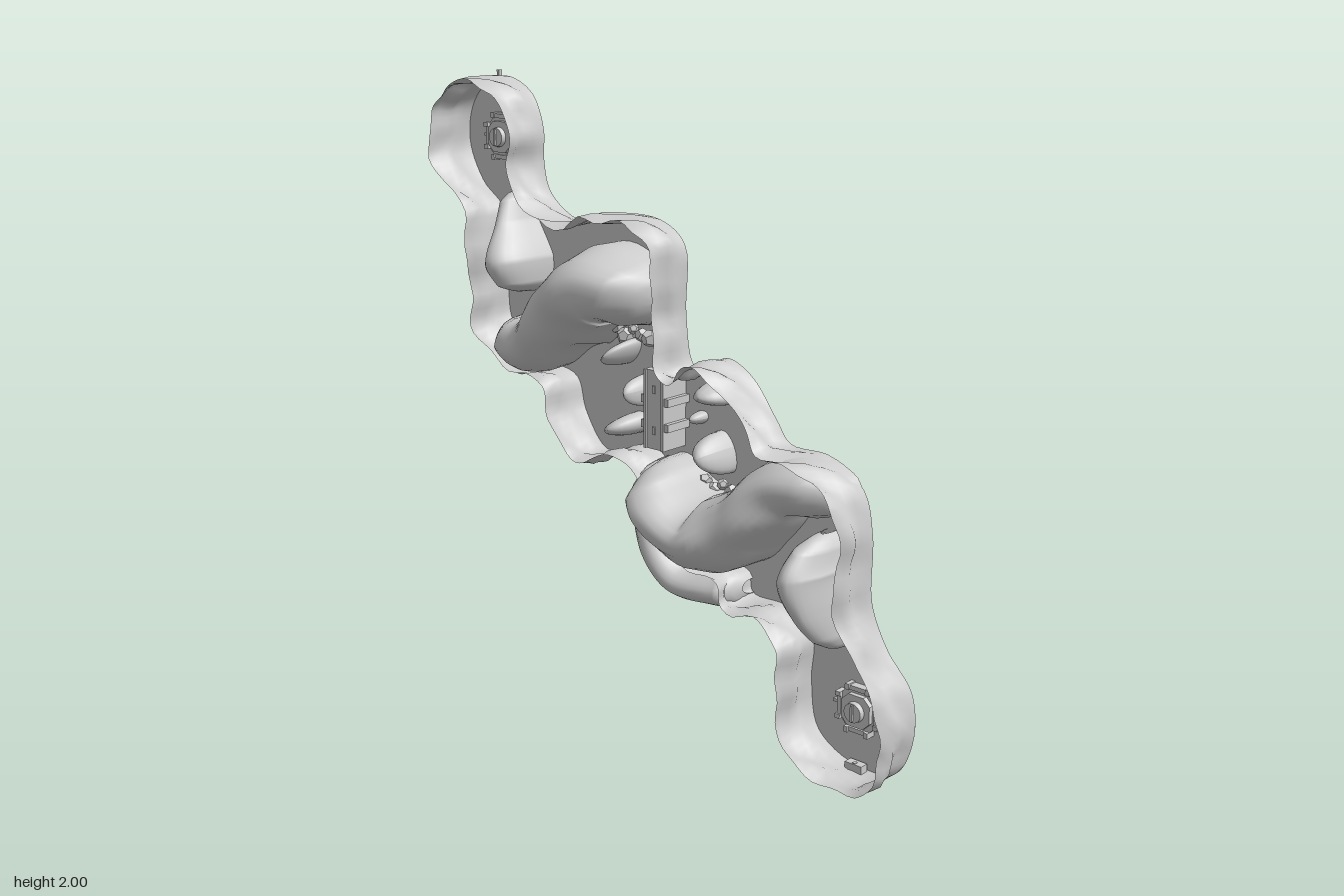
import * as THREE from 'three';

const FLOOR = -0.15;
const mat = new THREE.MeshStandardMaterial({ color: 0xcccccc, side: THREE.DoubleSide });

// Smooth repeatable bumps for the rock surfaces
const bump = (a, b, c) => Math.sin(a * 23 + c * 9) * 0.5 + Math.sin(b * 31 + a * 17) * 0.3 + Math.sin(c * 41 + b * 13) * 0.2;

// Sheet of nu x nv cells from a point rule
function grid(nu, nv, fn) {
  const pos = [], idx = [];
  for (let i = 0; i <= nu; i++) for (let j = 0; j <= nv; j++) pos.push(...fn(i / nu, j / nv));
  for (let i = 0; i < nu; i++) for (let j = 0; j < nv; j++) {
    const a = i * (nv + 1) + j, b = a + nv + 1;
    idx.push(a, b, a + 1, b, b + 1, a + 1);
  }
  const g = new THREE.BufferGeometry();
  g.setAttribute('position', new THREE.Float32BufferAttribute(pos, 3));
  g.setIndex(idx);
  g.computeVertexNormals();
  return g;
}

function add(parent, name, geo, x = 0, y = 0, z = 0) {
  const m = new THREE.Mesh(geo, mat);
  m.name = name;
  m.position.set(x, y, z);
  parent.add(m);
  return m;
}

const OUTLINE = [
  [-0.74, 1.98], [-0.62, 1.93], [-0.57, 1.82], [-0.57, 1.72], [-0.54, 1.62], [-0.4, 1.54], [-0.22, 1.585], [-0.05, 1.575],
  [0.035, 1.51], [0.04, 1.3], [0.07, 1.15], [0.12, 1.13], [0.2, 1.19], [0.3, 1.15], [0.4, 1.03], [0.45, 0.97],
  [0.6, 0.96], [0.72, 0.88], [0.755, 0.75], [0.76, 0.55], [0.82, 0.42], [0.91, 0.31], [0.92, 0.16], [0.86, 0.04],
  [0.7, 0.03], [0.58, 0.1], [0.55, 0.25], [0.55, 0.39], [0.45, 0.46], [0.32, 0.47], [0.3, 0.53], [0.17, 0.58],
  [0.05, 0.69], [-0.02, 0.81], [-0.1, 0.86], [-0.2, 0.83], [-0.3, 0.81], [-0.39, 0.92], [-0.43, 1.03], [-0.6, 1.07],
  [-0.73, 1.17], [-0.75, 1.3], [-0.76, 1.54], [-0.86, 1.63], [-0.92, 1.75], [-0.91, 1.86], [-0.85, 1.94],
];

// Ridges: x, y, crest z, half width
const UPPER = [[-0.7, 1.16, 0, 0.07], [-0.52, 1.14, 0.08, 0.09], [-0.36, 1.27, 0.11, 0.12], [-0.2, 1.37, 0.14, 0.12], [-0.02, 1.33, 0.05, 0.1]];
const LOWER = [[0.71, 0.86, 0, 0.08], [0.52, 0.87, 0.06, 0.09], [0.38, 0.75, 0.11, 0.11], [0.25, 0.67, 0.14, 0.11], [0.1, 0.74, 0.15, 0.09], [0, 0.84, 0.08, 0.07]];
const ARCH = [[0.32, 0.495, -0.02, 0.06], [0.24, 0.485, 0, 0.055], [0.1, 0.485, 0.01, 0.056], [0.015, 0.57, 0.02, 0.053], [-0.01, 0.7, 0.03, 0.045], [-0.01, 0.84, 0.03, 0.05]];
// Teardrop boulders on the two lanes
const UPPER_BOULDER = [[-0.67, 1.62, -0.06, 0.035], [-0.64, 1.52, 0, 0.042], [-0.6, 1.4, 0.08, 0.07], [-0.585, 1.3, 0.02, 0.05]];
const LOWER_BOULDER = [[0.61, 0.74, -0.02, 0.035], [0.605, 0.63, 0.08, 0.068], [0.63, 0.52, 0.05, 0.05], [0.66, 0.39, -0.07, 0.035]];

// Rocks: x, y, half width, half length, turn, top z
const ROCKS = [
  [-0.19, 1.15, 0.03, 0.055, -0.8, -0.02], [-0.12, 1.04, 0.028, 0.045, 0.3, -0.04], [-0.17, 0.92, 0.037, 0.058, -1.2, -0.02],
  [0.21, 1.09, 0.035, 0.075, 1.5, -0.01], [0.2, 0.9, 0.037, 0.075, 0.5, -0.01], [0.11, 0.99, 0.02, 0.022, 0, -0.09],
];

// Frame along a ridge: centre, sideways direction, half width, crest
function ridgeFrame(pts) {
  const curve = new THREE.CatmullRomCurve3(pts.map(p => new THREE.Vector3(p[0], p[1], p[2])));
  return t => {
    const p = curve.getPoint(t), d = curve.getTangent(t).setZ(0).normalize();
    const f = t * (pts.length - 1), i = Math.min(Math.floor(f), pts.length - 2);
    const w = THREE.MathUtils.lerp(pts[i][3], pts[i + 1][3], f - i);
    const cap = Math.sqrt(Math.min(1, (1 - Math.abs(2 * t - 1)) * 5));
    return { p, nx: -d.y, ny: d.x, w: w * (0.35 + 0.65 * cap), z: FLOOR + (p.z - FLOOR) * (0.4 + 0.6 * cap) };
  };
}

function ridgeGeo(pts, rough) {
  const at = ridgeFrame(pts);
  return grid(48, 14, (t, v) => {
    const { p, nx, ny, w, z } = at(t), a = v * Math.PI, s = Math.sin(a);
    const side = Math.cos(a) * w * (1 + rough * bump(p.x, p.y, v));
    return [p.x + nx * side, p.y + ny * side, FLOOR + (z - FLOOR) * Math.pow(s, 0.75) * (1 + rough * 0.4 * bump(p.y, p.x, v) * s)];
  });
}

// Opening in the floor beneath a ridge, with its reach to either side
function ridgeHole(pts, t0, t1, kl, kr) {
  const at = ridgeFrame(pts), left = [], right = [];
  for (let i = 0; i <= 20; i++) {
    const { p, nx, ny, w } = at(t0 + (t1 - t0) * i / 20);
    left.push(new THREE.Vector2(p.x + nx * w * kl, p.y + ny * w * kl));
    right.unshift(new THREE.Vector2(p.x - nx * w * kr, p.y - ny * w * kr));
  }
  return new THREE.Path([...left, ...right]);
}

const rockPoint = ([x, y, w, l, turn], a, r) => {
  const k = r * (1 + 0.1 * Math.sin(2 * a + x * 9) + 0.06 * Math.sin(3 * a + y * 7));
  const u = Math.cos(a) * w * k, v = Math.sin(a) * l * k;
  return [x + u * Math.cos(turn) - v * Math.sin(turn), y + u * Math.sin(turn) + v * Math.cos(turn)];
};

// Square plate with cut corners
function plate(r, h) {
  const c = r * 0.55;
  const pts = [[r, -c], [r, c], [c, r], [-c, r], [-r, c], [-r, -c], [-c, -r], [c, -r]].map(p => new THREE.Vector2(...p));
  return new THREE.ExtrudeGeometry(new THREE.Shape(pts), { depth: h, bevelEnabled: false });
}

// Emplacement set through the floor, showing on both faces
function emplacement(x, y) {
  const g = new THREE.Group();
  g.name = 'emplacement';
  g.position.set(x, y, FLOOR);
  add(g, 'basePlate', plate(0.066, 0.024), 0, 0, -0.002);
  add(g, 'middlePlate', plate(0.05, 0.016), 0, 0, 0.022);
  add(g, 'backPlate', plate(0.035, 0.004), 0, 0, -0.005);
  add(g, 'hub', new THREE.CylinderGeometry(0.03, 0.032, 0.016, 20).rotateX(Math.PI / 2), 0, 0, 0.046);
  add(g, 'hubBar', new THREE.BoxGeometry(0.008, 0.052, 0.008), 0, 0, 0.056);
  for (let i = 0; i < 4; i++) {
    const a = i * Math.PI / 2, c = Math.cos(a), s = Math.sin(a);
    add(g, 'edgeBar', new THREE.BoxGeometry(0.014, 0.07, 0.03), c * 0.066, s * 0.066, 0.013).rotation.z = a;
    for (const t of [-1, 1]) {
      add(g, 'clamp', new THREE.BoxGeometry(0.018, 0.014, 0.036), c * 0.068 - s * t * 0.036, s * 0.068 + c * t * 0.036, 0.016).rotation.z = a;
    }
  }
  for (const s of [-1, 1]) add(g, 'lug', new THREE.BoxGeometry(0.03, 0.01, 0.012), s * 0.085, 0, 0.004);
  return g;
}

export function createModel() {
  const model = new THREE.Group();
  model.name = 'rockArena';

  // Perimeter rock wall
  const rim = new THREE.CatmullRomCurve3(OUTLINE.map(([x, y]) => new THREE.Vector3(x, y, 0)), true, 'centripetal');
  add(model, 'perimeterWall', grid(260, 6, (t, v) => {
    const p = rim.getPoint(t % 1), d = rim.getTangent(t % 1);
    const o = 0.022 * bump(p.x * 1.7, p.y * 1.4, v) * Math.sin(v * Math.PI * 0.7);
    const top = 0.02 + 0.015 * bump(p.y, p.x, 0);
    return [THREE.MathUtils.clamp(p.x + d.y * o, -0.925, 0.925), THREE.MathUtils.clamp(p.y - d.x * o, 0.02, 1.985), FLOOR + (top - FLOOR) * v];
  }));

  // Floor, open beneath the hollow rocks
  const shape = new THREE.Shape(rim.getPoints(260).slice(0, -1).map(p => new THREE.Vector2(p.x, p.y)));
  shape.holes.push(
    ridgeHole(UPPER, 0.2, 0.9, 0.85, 0.7), ridgeHole(LOWER, 0.13, 0.72, 0.5, 0.85),
    ridgeHole(UPPER_BOULDER, 0.08, 0.94, 0.75, 0.75), ridgeHole(LOWER_BOULDER, 0.06, 0.92, 0.75, 0.75),
  );
  for (const r of ROCKS) {
    shape.holes.push(new THREE.Path(Array.from({ length: 20 }, (_, i) => new THREE.Vector2(...rockPoint(r, i * Math.PI / 10, 0.9)))));
  }
  add(model, 'floor', new THREE.ShapeGeometry(shape), 0, 0, FLOOR);

  // Great ridges, lane boulders and the side arch
  add(model, 'upperRidge', ridgeGeo(UPPER, 0.14));
  add(model, 'lowerRidge', ridgeGeo(LOWER, 0.14));
  add(model, 'upperBoulder', ridgeGeo(UPPER_BOULDER, 0.08));
  add(model, 'lowerBoulder', ridgeGeo(LOWER_BOULDER, 0.08));
  add(model, 'sideArch', ridgeGeo(ARCH, 0.08));
  const archAt = ridgeFrame(ARCH);
  add(model, 'archUnderside', grid(48, 1, (t, v) => {
    const { p, nx, ny, w } = archAt(t), s = (1 - 2 * v) * w;
    return [p.x + nx * s, p.y + ny * s, FLOOR];
  }));

  // Free-standing hollow rocks
  for (const r of ROCKS) {
    add(model, 'rock', grid(24, 7, (u, v) => {
      const a = u * Math.PI * 2, e = v * Math.PI / 2;
      return [...rockPoint(r, a, Math.cos(e)), FLOOR + (r[5] - FLOOR) * Math.sin(e)];
    }));
  }

  // Rubble at the foot of the ridges
  for (const [cx, cy] of [[-0.17, 1.22], [0.2, 0.79]]) for (let i = 0; i < 6; i++) {
    const m = add(model, 'rubble', new THREE.DodecahedronGeometry(0.018 + 0.005 * (i % 3)), cx + (i - 2.5) * 0.035, cy + 0.015 * Math.sin(i * 2.4), FLOOR + 0.03);
    m.rotation.set(i, i * 2, i * 3);
  }

  // Raised central crossing on two side walls
  const bridge = new THREE.Group();
  bridge.name = 'crossing';
  bridge.position.set(0, 1.01, FLOOR);
  add(bridge, 'deck', new THREE.BoxGeometry(0.07, 0.25, 0.02), 0, 0, 0.09);
  for (const s of [-1, 1]) {
    add(bridge, 'sideWall', new THREE.BoxGeometry(0.01, 0.25, 0.105), s * 0.036, 0, 0.0535);
    add(bridge, 'slot', new THREE.BoxGeometry(0.01, 0.025, 0.01), 0, s * 0.065, 0.1);
    for (const t of [-1, 1]) add(bridge, 'bracket', new THREE.BoxGeometry(0.02, 0.025, 0.1), s * 0.046, t * 0.04 - 0.01, 0.051);
  }
  model.add(bridge);

  // Emplacements and end gates
  for (const s of [-1, 1]) {
    model.add(emplacement(s * 0.74, 1 - s * 0.785));
    add(model, 'gate', new THREE.BoxGeometry(0.06, 0.025, 0.03), s * 0.74, 1 - s * 0.965, -0.125);
    add(model, 'gatePost', new THREE.BoxGeometry(0.01, 0.05, 0.014), s * 0.74, 1 - s * 0.975, -0.12);
  }
  return model;
}
